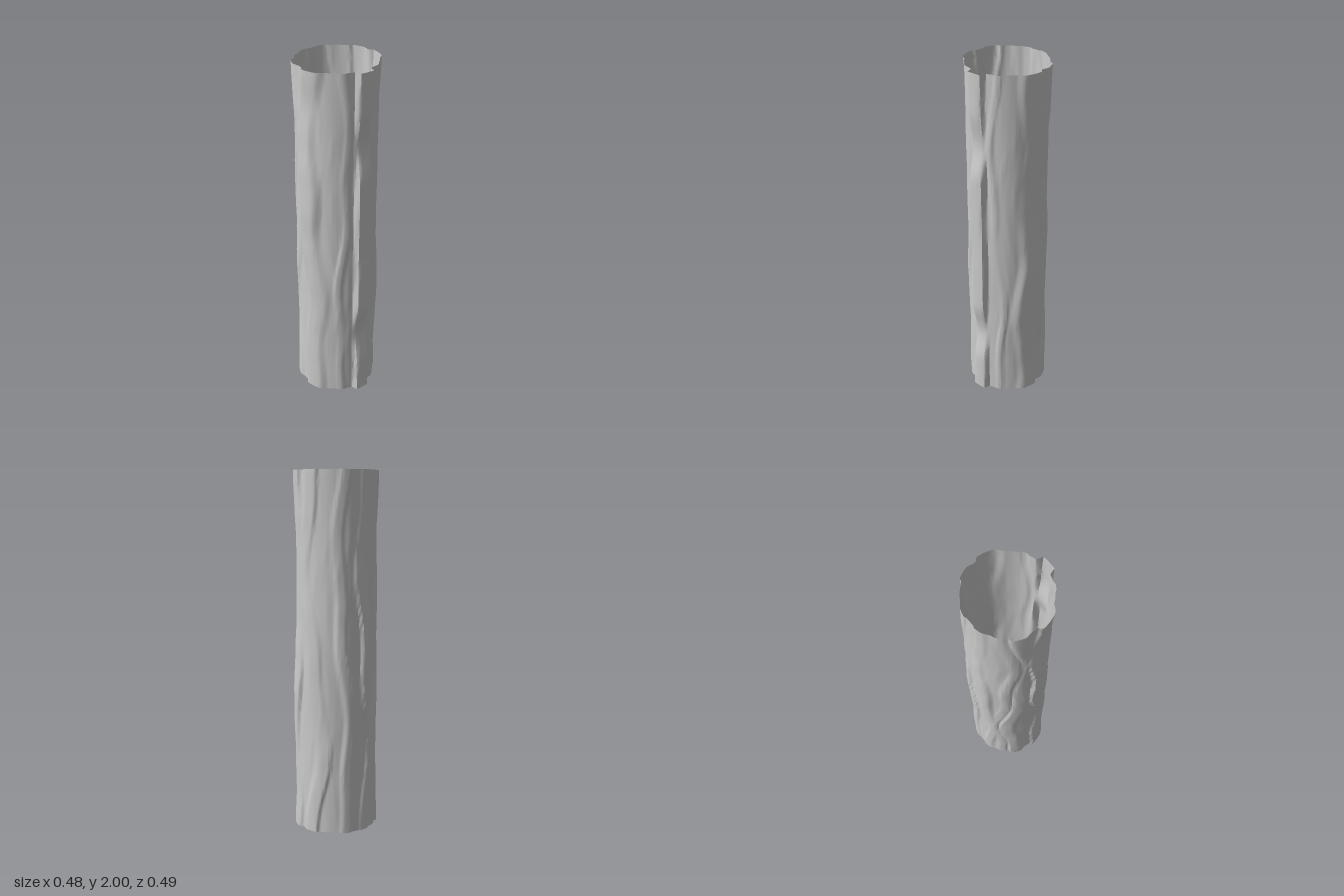
import * as THREE from 'three';
import { toCreasedNormals } from 'three/addons/utils/BufferGeometryUtils.js';

const HEIGHT = 2, RADIUS = 0.219, AROUND = 160, UP = 64;
const CENTRE_X = 0.002, CENTRE_Z = -0.01;

// Bark plates: angle in degrees (0 = front, 90 = left side), half width,
// sideways wander, diagonal drift, and thickness (mm-like, /1000) from foot to top.
const plates = [
  { at: 0, half: 12, wander: 1, drift: 0, t: [32, 32, 3, 35, 36, 34, 36, 36, 8, 30, 32] },
  { at: 27, half: 6, wander: 3, drift: 8, t: [6, 8, 9, 6, 3, 2, 5, 8, 9, 4, 6] },
  { at: -28, half: 7, wander: 3, drift: -6, t: [6, 4, 2, 5, 9, 9, 6, 3, 4, 8, 6] },
  { at: 74, half: 18, wander: 4, drift: -6, t: [17, 10, 11, 16, 20, 12, 3, 2, 5, 10, 17] },
  { at: -75, half: 18, wander: 4, drift: 7, t: [18, 16, 12, 10, 13, 17, 25, 23, 15, 6, 18] },
  { at: 112, half: 14, wander: 4, drift: 14, t: [14, 13, 8, 3, 6, 10, 8, 4, 6, 11, 14] },
  { at: -112, half: 14, wander: 4, drift: -14, t: [15, 12, 7, 9, 13, 10, 5, 3, 8, 12, 15] },
  { at: 160, half: 10, wander: 3, drift: 8, t: [9, 11, 12, 14, 17, 19, 14, 8, 5, 7, 9] },
  { at: -163, half: 10, wander: 3, drift: 8, t: [8, 10, 13, 11, 14, 19, 17, 10, 4, 6, 8] },
  { at: -137, half: 9, wander: 5, drift: -12, t: [5, 9, 11, 8, 4, 6, 10, 9, 5, 3, 5] },
];

const smooth = THREE.MathUtils.smoothstep;
const wrap = (d) => ((d + 540) % 360) - 180;

// Thickness of a plate at a height, eased between its samples
function thickness(list, v) {
  const f = v * (list.length - 1);
  const i = Math.min(Math.floor(f), list.length - 2);
  return THREE.MathUtils.lerp(list[i], list[i + 1], smooth(f - i, 0, 1)) / 1000;
}

// Bark radius: the thickest plate on a round core, plus faint vertical grain
function barkRadius(deg, v) {
  let raise = 0;
  plates.forEach((p, k) => {
    const middle = p.at + p.drift * Math.sin(Math.PI * 2 * v)
      + p.wander * Math.sin(v * Math.PI * 6 + k * 2);
    const d = wrap(deg - middle);
    const steepSide = (k % 2 ? d : -d) > 0;
    const slope = k === 0 || steepSide ? 3 : p.half * 0.7;
    raise = Math.max(raise, thickness(p.t, v) * (1 - smooth(Math.abs(d), p.half - slope, p.half + 1)));
  });
  const a = THREE.MathUtils.degToRad(deg);
  const grain = Math.sin(a * 17 + 2 * Math.sin(v * Math.PI * 4))
    * Math.sin(a * 5 + v * Math.PI * 6);
  return RADIUS + raise + 0.0015 * Math.max(0, grain);
}

// Open bark sleeve, wrapped around the y axis
function barkGeometry() {
  const geo = new THREE.CylinderGeometry(1, 1, HEIGHT, AROUND, UP, true);
  const pos = geo.attributes.position;
  const cols = AROUND + 1;
  for (let i = 0; i < pos.count; i++) {
    const deg = ((i % cols) % AROUND) * 360 / AROUND;
    const v = 1 - Math.floor(i / cols) / UP;
    const a = THREE.MathUtils.degToRad(deg);
    const r = barkRadius(deg, v);
    pos.setXYZ(i, CENTRE_X + r * Math.sin(a), v * HEIGHT, CENTRE_Z + r * Math.cos(a));
  }
  return toCreasedNormals(geo, Math.PI / 4);
}

export function createModel() {
  const group = new THREE.Group();
  group.name = 'treeTrunk';
  const material = new THREE.MeshStandardMaterial({ color: 0xcccccc, side: THREE.DoubleSide });
  const bark = new THREE.Mesh(barkGeometry(), material);
  bark.name = 'bark';
  group.add(bark);
  return group;
}
